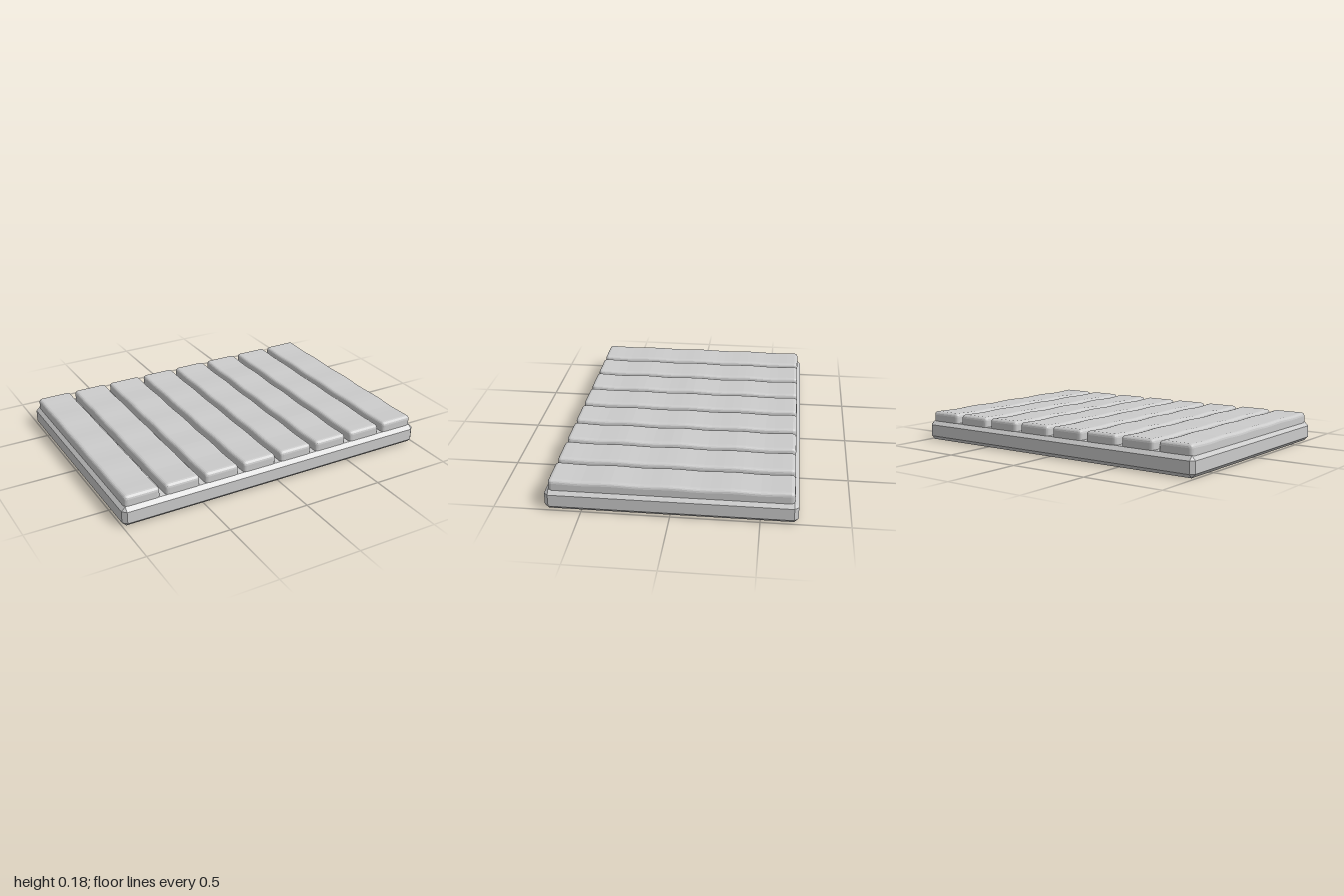
import * as THREE from 'three';
import { ConvexGeometry } from 'three/addons/geometries/ConvexGeometry.js';
import { mergeVertices } from 'three/addons/utils/BufferGeometryUtils.js';

// Box with every edge chamfered by c
function chamferedBox(w, h, d, c) {
  const [a, b, e] = [w / 2, h / 2, d / 2];
  const points = [];
  for (const x of [-1, 1]) for (const y of [-1, 1]) for (const z of [-1, 1]) {
    points.push(
      new THREE.Vector3(x * a, y * (b - c), z * (e - c)),
      new THREE.Vector3(x * (a - c), y * b, z * (e - c)),
      new THREE.Vector3(x * (a - c), y * (b - c), z * e)
    );
  }
  return new ConvexGeometry(points);
}

// Rounded plank whose top ripples gently along its length
function plankGeometry(w, h, d, r, ripple) {
  const half = [w / 2, h / 2, d / 2];
  const segments = [5, 5, 28];
  const bevel = 2;
  let geo = new THREE.BoxGeometry(w, h, d, ...segments);
  geo.deleteAttribute('uv');
  geo.deleteAttribute('normal');
  const pos = geo.attributes.position;
  const offset = new THREE.Vector3();
  for (let i = 0; i < pos.count; i++) {
    // The outer grid cells make the rounding, the rest span the flat part
    const p = [0, 1, 2].map((k) => {
      const n = segments[k], H = half[k];
      const cell = Math.round((pos.getComponent(i, k) / (2 * H) + 0.5) * n);
      if (cell < bevel) return -H + r * cell / bevel;
      if (cell > n - bevel) return H - r * (n - cell) / bevel;
      return -(H - r) + 2 * (H - r) * (cell - bevel) / (n - 2 * bevel);
    });
    const inner = p.map((v, k) => THREE.MathUtils.clamp(v, r - half[k], half[k] - r));
    offset.set(p[0] - inner[0], p[1] - inner[1], p[2] - inner[2]);
    if (offset.lengthSq() > 0) offset.setLength(r);
    const z = inner[2] + offset.z;
    let y = inner[1] + offset.y;
    if (y > 0) y += ripple * (Math.cos(z * Math.PI * 2 / 0.34) - 1);
    pos.setXYZ(i, inner[0] + offset.x, y, z);
  }
  geo = mergeVertices(geo);
  geo.computeVertexNormals();
  return geo;
}

export function createModel() {
  const group = new THREE.Group();
  const material = new THREE.MeshStandardMaterial({ color: 0xcccccc, flatShading: true });

  // Slab under the planks
  const base = new THREE.Mesh(chamferedBox(2, 0.12, 1.42, 0.024), material);
  base.name = 'base';
  base.position.y = 0.06;
  group.add(base);

  // Eight planks, sunk into the slab
  const planks = new THREE.Group();
  planks.name = 'planks';
  for (let i = 0; i < 8; i++) {
    const ripple = 0.002 + 0.0005 * (i % 3);
    const plank = new THREE.Mesh(plankGeometry(0.216, 0.11, 1.374, 0.022, ripple), material);
    plank.name = `plank${i + 1}`;
    plank.position.set((i - 3.5) * 0.249, 0.126, 0);
    planks.add(plank);
  }
  group.add(planks);
  return group;
}
